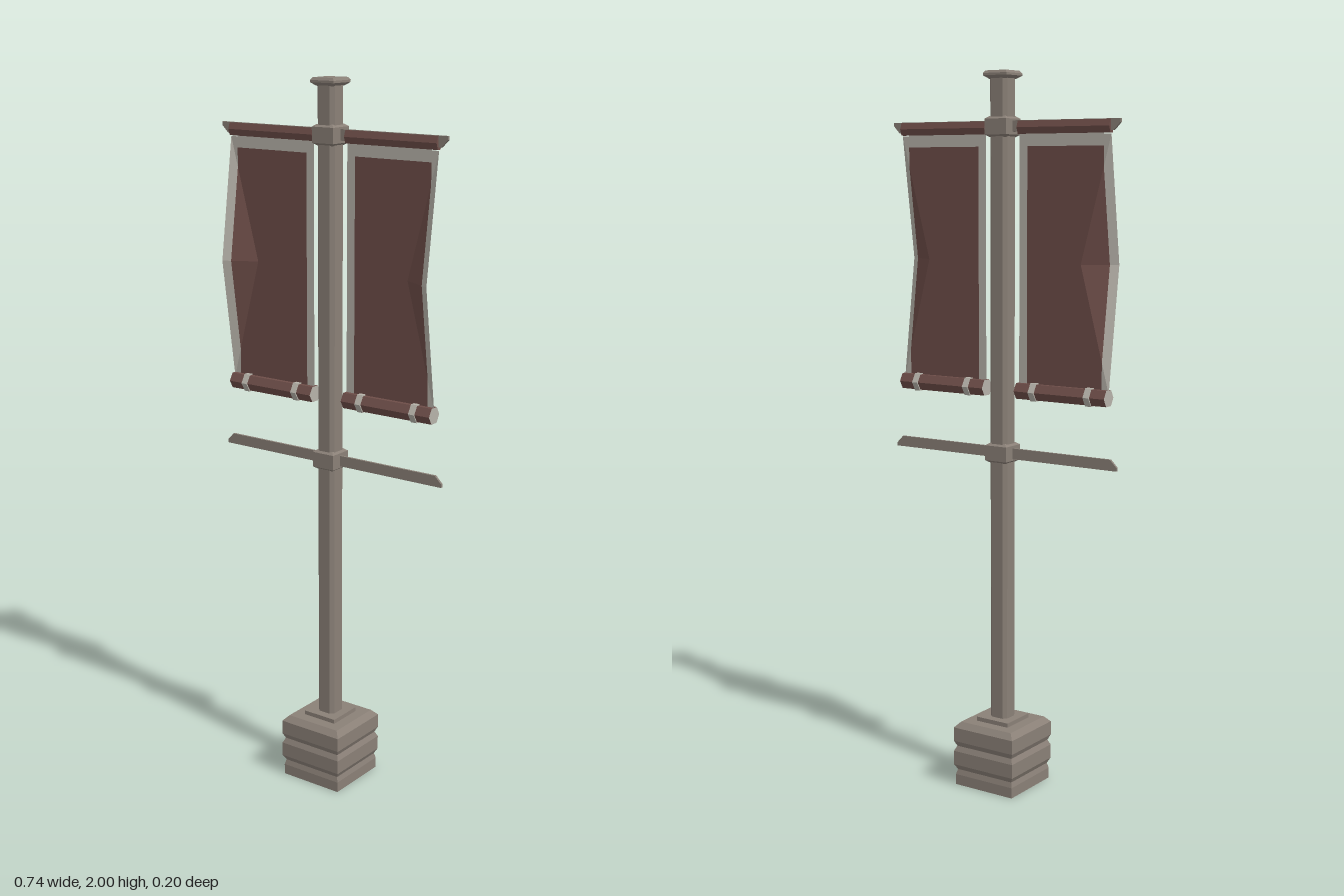
import * as THREE from 'three';

const stone = new THREE.MeshStandardMaterial({ color: 0x8a8077 });
stone.name = 'weathered stone grey';
const red = new THREE.MeshStandardMaterial({ color: 0x6d4d48, side: THREE.DoubleSide });
red.name = 'dull red cloth';
const pale = new THREE.MeshStandardMaterial({ color: 0xb6b2a9, side: THREE.DoubleSide });
pale.name = 'pale trim';

// Gives every face its own normal
function flat(geometry) {
  const g = geometry.index ? geometry.toNonIndexed() : geometry;
  g.computeVertexNormals();
  return g;
}

function add(parent, name, geometry, material) {
  const mesh = new THREE.Mesh(flat(geometry), material);
  mesh.name = name;
  parent.add(mesh);
  return mesh;
}

// Square turned profile: pairs of [half width, height], listed from bottom to top
function squareLathe(profile) {
  const points = profile.map(([w, y]) => new THREE.Vector2(w * Math.SQRT2, y));
  return new THREE.LatheGeometry(points, 4).rotateY(Math.PI / 4);
}

// Six-sided bar along x with a ridge on top
function hexBar(radius, x0, x1, y, depthScale = 1) {
  return new THREE.CylinderGeometry(radius, radius, Math.abs(x1 - x0), 6)
    .rotateZ(Math.PI / 2)
    .scale(1, 1, depthScale)
    .translate((x0 + x1) / 2, y, 0);
}

// Extruded polygon centred on z = 0
function plate(points, depth) {
  const shape = new THREE.Shape(points.map(([x, y]) => new THREE.Vector2(x, y)));
  return new THREE.ExtrudeGeometry(shape, { depth, bevelEnabled: false }).translate(0, 0, -depth / 2);
}

// Cloth billows forward from fold lines that meet at the middle of the outer edge
const MID = 1.49, OUT = 0.34, FOLD = 0.09, BULGE = 0.048;
function clothDepth(x, y) {
  const t = Math.max(0, 1 - Math.abs(y - MID) / 0.34);
  return Math.max(0, (x - (OUT - FOLD * t)) / FOLD) * BULGE;
}

function cloth(points, side) {
  const g = new THREE.ShapeGeometry(new THREE.Shape(points.map(([x, y]) => new THREE.Vector2(x, y))));
  const p = g.attributes.position;
  for (let i = 0; i < p.count; i++) {
    p.setXYZ(i, p.getX(i) * side, p.getY(i), clothDepth(p.getX(i), p.getY(i)));
  }
  return g;
}

function createBanner(side) {
  const banner = new THREE.Group();
  banner.name = side > 0 ? 'leftBanner' : 'rightBanner';

  // Red centre, flat part
  add(banner, 'clothPanel', cloth([[0.08, 1.15], [0.318, 1.15], [0.318, 1.233], [0.25, MID],
    [0.318, 1.747], [0.318, 1.8], [0.08, 1.8]], side), red);
  // Pale top and inner borders
  add(banner, 'topBorder', cloth([[0.055, 1.8], [0.318, 1.8], [0.318, 1.84], [0.055, 1.84]], side), pale);
  add(banner, 'innerBorder', cloth([[0.055, 1.14], [0.08, 1.14], [0.08, 1.8], [0.055, 1.8]], side), pale);

  // Billowing outer edge, upper and lower halves
  for (const v of [1, -1]) {
    const half = (pts) => cloth(pts.map(([x, dy]) => [x, MID + v * dy]), side);
    add(banner, 'clothFold', half([[0.25, 0], [0.318, 0], [0.318, 0.257]]), red);
    add(banner, 'outerBorderFold', half([[0.318, 0], [OUT, 0], [OUT, 0.34], [0.318, 0.257]]), pale);
    add(banner, 'outerBorderCorner', half([[0.318, 0.257], [OUT, 0.34], [0.318, 0.34]]), pale);
  }

  // Rods holding the cloth
  add(banner, 'topRoll', hexBar(0.02, 0.053 * side, OUT * side, 1.85, 0.62), red);
  add(banner, 'bottomRoll', hexBar(0.025, 0.053 * side, OUT * side, 1.14), [red, pale, pale]);
  for (const x of [0.11, 0.285]) {
    add(banner, 'rollBand', hexBar(0.0285, (x - 0.009) * side, (x + 0.009) * side, 1.14), pale);
  }
  return banner;
}

export function createModel() {
  const model = new THREE.Group();
  model.name = 'bannerPost';

  // Grooved block with a step on top
  add(model, 'base', squareLathe([[0, 0], [0.096, 0], [0.096, 0.03], [0.092, 0.045], [0.1, 0.06],
    [0.1, 0.1], [0.093, 0.115], [0.1, 0.13], [0.1, 0.17], [0.085, 0.186], [0.053, 0.186],
    [0.053, 0.198], [0, 0.198]]), stone);

  // Square pole with chamfered corners
  const w = 0.028, c = 0.018;
  const section = [[w, -c], [w, c], [c, w], [-c, w], [-w, c], [-w, -c], [-c, -w], [c, -w]];
  add(model, 'pole', plate(section, 1.8).rotateX(-Math.PI / 2).translate(0, 1.09, 0), stone);
  add(model, 'cap', squareLathe([[0.026, 1.978], [0.038, 1.987], [0.038, 1.993], [0.033, 2], [0, 2]]), stone);

  // Collars and thin cross arms; the upper arm is the lower one turned over
  for (const [name, y, flip] of [['lower', 0.9625, 1], ['upper', 1.8525, -1]]) {
    add(model, name + 'Collar', squareLathe([[0.025, y - 0.028], [0.035, y - 0.021],
      [0.035, y + 0.021], [0.025, y + 0.028]]), stone);
    const arm = add(model, name + 'Arm', plate([[-0.368, -0.016], [0.368, -0.016], [0.368, -0.006],
      [0.348, 0.014], [-0.348, 0.014], [-0.368, -0.006]], 0.007), stone);
    arm.position.y = y;
    if (flip < 0) arm.rotation.x = Math.PI;
  }

  for (const side of [1, -1]) model.add(createBanner(side));
  return model;
}
